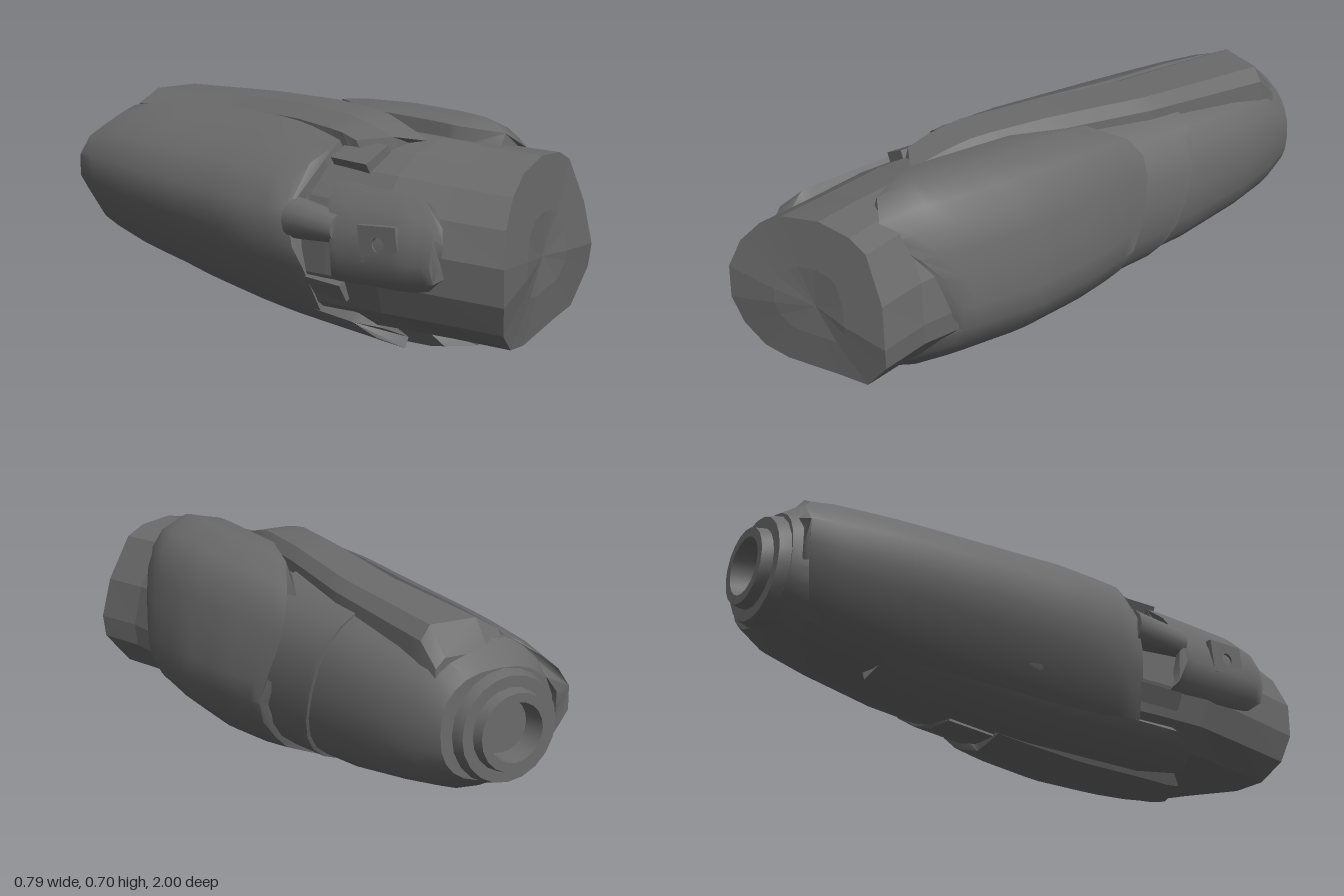
import * as THREE from 'three';
import { toCreasedNormals } from 'three/addons/utils/BufferGeometryUtils.js';

const V = (x, y, z = 0) => new THREE.Vector3(x, y, z);
const color = 0x6b6b6b;
const smooth = new THREE.MeshStandardMaterial({ color, side: THREE.DoubleSide });
const faceted = new THREE.MeshStandardMaterial({ color, flatShading: true });

// Skin over equal-length loops, counter-clockwise seen from +z, ordered by rising z
function loft(loops, caps = true) {
  const n = loops[0].length, index = [];
  for (let i = 0; i < loops.length - 1; i++) for (let j = 0; j < n; j++) {
    const a = i * n + j, b = i * n + (j + 1) % n;
    index.push(a, b, b + n, a, b + n, a + n);
  }
  if (caps) [0, loops.length - 1].forEach((k, end) => {
    const pts = loops[k].map(p => new THREE.Vector2(p.x, p.y));
    for (const [a, b, c] of THREE.ShapeUtils.triangulateShape(pts, [])) {
      const ccw = THREE.ShapeUtils.area([pts[a], pts[b], pts[c]]) > 0;
      const t = ccw === (end === 1) ? [a, b, c] : [a, c, b];
      index.push(...t.map(v => v + k * n));
    }
  });
  const g = new THREE.BufferGeometry().setFromPoints(loops.flat());
  g.setIndex(index);
  return g;
}

// Bounding box [left, right, bottom, top] at z from stations [z, left, right, bottom, top]
function boxAt(st, z) {
  let i = 0;
  while (i < st.length - 2 && z > st[i + 1][0]) i++;
  const f = THREE.MathUtils.clamp((z - st[i][0]) / (st[i + 1][0] - st[i][0]), 0, 1);
  return [1, 2, 3, 4].map(k => THREE.MathUtils.lerp(st[i][k], st[i + 1][k], f));
}

// Scale a profile so that its own bounds become 0..1
function unit(profile) {
  const b = new THREE.Box2().setFromPoints(profile.map(p => new THREE.Vector2(...p)));
  const s = b.getSize(new THREE.Vector2());
  return profile.map(([x, y]) => [(x - b.min.x) / s.x, (y - b.min.y) / s.y]);
}

// Profile swept through the stations; rear and front give the end z of every profile point
function sweep(profile, st, rear, front, steps = 14) {
  return Array.from({ length: steps + 1 }, (_, i) => profile.map(([px, py], j) => {
    const z = THREE.MathUtils.lerp(rear(j), front(j), i / steps);
    const [l, r, b, t] = boxAt(st, z);
    return V(l + px * (r - l), b + py * (t - b), z);
  }));
}

// Armour plate with thickness and free edges
function plate(profile, st, rear, front, thick) {
  const loops = sweep(unit(profile), st, j => rear[j], j => front[j] ?? front[0]).map(outer => {
    const inner = outer.map(p => p.clone().add(V(-p.x, 0.35 - p.y).setLength(thick)));
    return [...outer, ...inner.reverse()];
  });
  return toCreasedNormals(loft(loops), 0.8);
}

export function createModel() {
  const model = new THREE.Group();
  const add = (name, geo, mat = smooth) => {
    const m = new THREE.Mesh(geo, mat);
    m.name = name;
    model.add(m);
    return m;
  };

  // Faceted inner arm with a slanted, slightly dished end
  const armOutline = [[0.39, 0.31], [0.37, 0.44], [0.3, 0.58], [0.24, 0.61], [0.13, 0.62], [0, 0.59], [-0.08, 0.54],
    [-0.15, 0.46], [-0.19, 0.36], [-0.19, 0.25], [-0.16, 0.16], [-0.09, 0.1], [0, 0.09], [0.19, 0.12], [0.3, 0.135], [0.385, 0.24]];
  const armStations = [[0.15, -0.32, 0.3, 0.06, 0.64], [0.5, -0.305, 0.33, 0.085, 0.64], [0.65, -0.28, 0.345, 0.09, 0.63],
    [0.79, -0.245, 0.392, 0.09, 0.625], [1, -0.2, 0.392, 0.09, 0.62]];
  const armEnd = j => 1.01 - (armOutline[j][0] + 0.2) * 0.37 - 0.15 * Math.abs(armOutline[j][1] - 0.3);
  const armLoops = sweep(unit(armOutline), armStations, () => 0.15, armEnd, 4);
  add('innerArm', loft(armLoops, false), faceted);
  const rim = armLoops.at(-1);
  const dish = [[0.45, 0.875], [0.002, 0.86]].map(([s, z]) => rim.map(p => p.clone().lerp(V(0.1, 0.33, z), 1 - s)));
  add('armEnd', loft([rim, ...dish], false), faceted);

  // Tapered sleeve with a chamfered wrist end
  const round = Array.from({ length: 24 }, (_, i) => {
    const a = i / 24 * Math.PI * 2;
    return [Math.cos(a), Math.sin(a)].map(v => 0.5 + 0.5 * Math.sign(v) * Math.abs(v) ** 0.82);
  });
  const sleeveStations = [[-0.93, -0.265, 0.12, 0.21, 0.54], [-0.84, -0.31, 0.16, 0.155, 0.6], [-0.7, -0.32, 0.197, 0.13, 0.615],
    [-0.46, -0.33, 0.23, 0.09, 0.635], [-0.1, -0.35, 0.25, 0.055, 0.64], [0.25, -0.31, 0.29, 0.045, 0.64]];
  add('wristSleeve', toCreasedNormals(loft(sleeveStations.map(s => sweep(round, sleeveStations, () => s[0], () => s[0], 1)[0])), 0.4));

  // Raised band between the sleeve and the side shell, following the sleeve's section
  const bandArc = Array.from({ length: 12 }, (_, i) => round[(i + 18) % 24]);
  const bandRear = bandArc.map((_, i) => -0.26 - 0.2 * THREE.MathUtils.smoothstep(i, 0, 9));
  add('wristBand', plate(bandArc, [[-0.46, -0.05, 0.242, 0.08, 0.632], [-0.05, -0.05, 0.266, 0.043, 0.645]], bandRear, [-0.05], 0.035));

  // Hollow stepped wrist ring
  const ring = add('wristRing', toCreasedNormals(new THREE.LatheGeometry([[0.175, -0.05], [0.172, 0.05], [0.16, 0.085], [0.125, 0.085],
    [0.118, 0.12], [0.09, 0.12], [0.08, 0.03], [0, 0.03]].map(p => new THREE.Vector2(...p)), 20), 0.5));
  ring.rotation.x = -Math.PI / 2;
  ring.position.set(-0.09, 0.365, -0.88);

  // Bulging shell around the left side and underneath
  add('sideShell', plate([[-0.12, 0.1], [-0.08, 0.02], [0.06, 0], [0.2, 0.05], [0.26, 0.1], [0.33, 0.17], [0.375, 0.25], [0.383, 0.33],
    [0.37, 0.44], [0.355, 0.52], [0.33, 0.6], [0.28, 0.66], [0.18, 0.7], [0.07, 0.68]],
  [[-0.25, -0.1, 0.27, 0.05, 0.645], [-0.15, -0.11, 0.3, 0.035, 0.67], [0, -0.12, 0.34, 0.015, 0.69], [0.22, -0.12, 0.372, 0, 0.7],
    [0.45, -0.12, 0.365, 0, 0.7], [0.58, -0.1, 0.337, 0.005, 0.695], [0.69, -0.08, 0.28, 0.03, 0.65]],
  [-0.1, -0.1, -0.1, -0.11, -0.12, -0.14, -0.17, -0.2, -0.23, -0.245, -0.24, -0.2, -0.08, 0.15],
  [0.55, 0.62, 0.65, 0.69, 0.66, 0.51, 0.5, 0.5, 0.55, 0.61, 0.68, 0.69, 0.66, 0.53], 0.07));

  // Long shell on the right side
  add('rightShell', plate([[-0.12, 0.655], [-0.18, 0.63], [-0.26, 0.583], [-0.33, 0.53], [-0.395, 0.44], [-0.395, 0.33],
    [-0.36, 0.26], [-0.28, 0.12], [-0.2, 0.08]],
  [[-0.9, -0.335, -0.16, 0.2, 0.58], [-0.8, -0.35, -0.155, 0.17, 0.61], [-0.6, -0.374, -0.135, 0.13, 0.635], [-0.35, -0.39, -0.115, 0.1, 0.65],
    [0, -0.395, -0.135, 0.08, 0.655], [0.14, -0.38, -0.155, 0.08, 0.645], [0.28, -0.35, -0.175, 0.08, 0.625]],
  [-0.83, -0.85, -0.88, -0.91, -0.91, -0.91, -0.9, -0.87, -0.84], [0.27, 0.27, 0.24, 0.22, 0.24, 0.26, 0.28, 0.3, 0.3], 0.045));

  // Plate under the right shell
  add('lowerPlate', plate([[-0.28, 0.12], [-0.25, 0.08], [-0.15, 0.03], [-0.09, 0.03]],
    [[-0.6, -0.24, -0.06, 0.09, 0.17], [-0.3, -0.26, -0.08, 0.06, 0.14], [0, -0.27, -0.09, 0.035, 0.12], [0.55, -0.28, -0.1, 0.03, 0.11]],
    [-0.55, -0.58, -0.6, -0.56], [0.45, 0.53, 0.55, 0.42], 0.035));

  // Bevelled strip along the top, dipping to the arm at its pointed front
  const stripFront = [0.44, 0.44, 0.44, 0.47, 0.42, 0.32];
  add('topStrip', toCreasedNormals(loft(sweep([[0, 0], [1, 0], [0.98, 0.75], [0.86, 1], [0.28, 1], [0, 0.74]],
    [[-0.87, -0.145, 0.105, 0.46, 0.575], [-0.82, -0.15, 0.115, 0.48, 0.655], [-0.35, -0.11, 0.125, 0.53, 0.68], [0, -0.13, 0.09, 0.55, 0.695],
      [0.25, -0.155, 0.06, 0.53, 0.69], [0.38, -0.15, 0.04, 0.48, 0.66], [0.48, -0.13, 0.03, 0.46, 0.625]],
    () => -0.87, j => stripFront[j], 20)), 0.3));

  // Bracket panel with a round hole
  add('bracket', plate([[-0.23, 0.54], [-0.3, 0.49], [-0.34, 0.42], [-0.36, 0.34], [-0.33, 0.27], [-0.28, 0.24]],
    [[0.42, -0.36, -0.255, 0.23, 0.53], [0.7, -0.33, -0.24, 0.25, 0.52], [0.8, -0.3, -0.23, 0.27, 0.5]],
    [0.36, 0.38, 0.42, 0.44, 0.42, 0.4], [0.72, 0.78, 0.8, 0.8, 0.8, 0.76], 0.045));
  const panel = new THREE.Shape([[-0.07, -0.05], [0.07, -0.04], [0.07, 0.05], [-0.07, 0.06]].map(p => new THREE.Vector2(...p)));
  panel.holes.push(new THREE.Path().absarc(0, 0, 0.022, 0, Math.PI * 2, true));
  const lid = add('bracketPanel', new THREE.ExtrudeGeometry(panel, { depth: 0.02, bevelEnabled: false }));
  lid.rotation.set(0, -Math.PI / 2 + 0.15, 0.15);
  lid.position.set(-0.315, 0.385, 0.62);

  // Hinge between shell and bracket, and the tab beside the strip
  const hinge = add('hinge', toCreasedNormals(new THREE.CylinderGeometry(0.045, 0.065, 0.2, 12), 0.6));
  hinge.rotation.x = Math.PI / 2;
  hinge.position.set(-0.315, 0.4, 0.34);
  for (const [name, size, pos, tilt] of [
    ['lowerHinge', [0.04, 0.06, 0.16], [-0.29, 0.21, 0.36], 0.5],
    ['stripTab', [0.1, 0.06, 0.16], [-0.15, 0.575, 0.35], 0.5]]) {
    const block = add(name, new THREE.BoxGeometry(...size));
    block.position.set(...pos);
    block.rotation.z = tilt;
  }
  return model;
}
